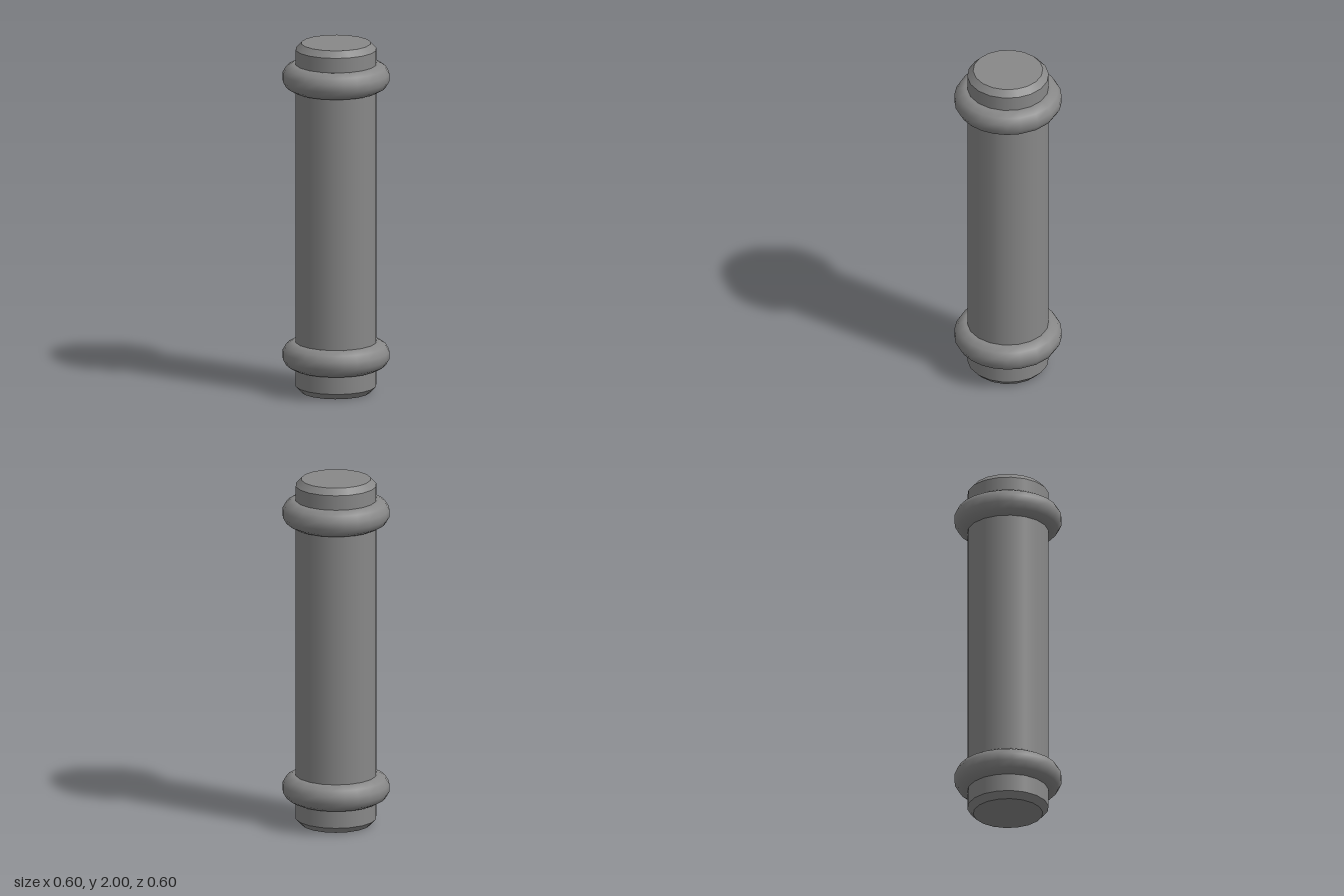
import * as THREE from 'three';
import { mergeGeometries } from 'three/addons/utils/BufferGeometryUtils.js';

const grey = new THREE.MeshStandardMaterial({ color: 0x888888 });

// Shaft with bevelled ends, 18 sides; each band is separate so its rims stay sharp
function shaft() {
  const profile = [[0, 0], [0.195, 0], [0.228, 0.035], [0.228, 1.965], [0.195, 2], [0, 2]]
    .map(([r, y]) => new THREE.Vector2(r, y));
  const bands = profile.slice(1).map((p, i) =>
    new THREE.LatheGeometry([profile[i], p], 18, Math.PI / 2));
  const mesh = new THREE.Mesh(mergeGeometries(bands), grey);
  mesh.name = 'shaft';
  return mesh;
}

// Ring with a twelve-sided section; its steps are 15 degrees, 20 beside the +x side
function ring(name, y) {
  const sides = 12, steps = 23, R = 0.225, tube = 0.0776;
  const geometry = new THREE.TorusGeometry(R, tube, sides, steps);
  const { position, normal } = geometry.attributes;
  for (let j = 0; j <= sides; j++) {
    const t = ((j + 0.5) / sides) * Math.PI * 2;
    for (let i = 0; i <= steps; i++) {
      const degrees = i === 0 ? 0 : i < 22 ? 5 + 15 * i : 340 + 20 * (i - 22);
      const a = THREE.MathUtils.degToRad(degrees);
      const k = j * (steps + 1) + i;
      const r = R + tube * Math.cos(t);
      position.setXYZ(k, r * Math.cos(a), -tube * Math.sin(t), r * Math.sin(a));
      normal.setXYZ(k, Math.cos(t) * Math.cos(a), -Math.sin(t), Math.cos(t) * Math.sin(a));
    }
  }
  const mesh = new THREE.Mesh(geometry, grey);
  mesh.name = name;
  mesh.position.y = y;
  return mesh;
}

export function createModel() {
  const group = new THREE.Group();
  group.name = 'ringedColumn';
  group.add(shaft(), ring('upperRing', 1.806), ring('lowerRing', 0.212));
  return group;
}
